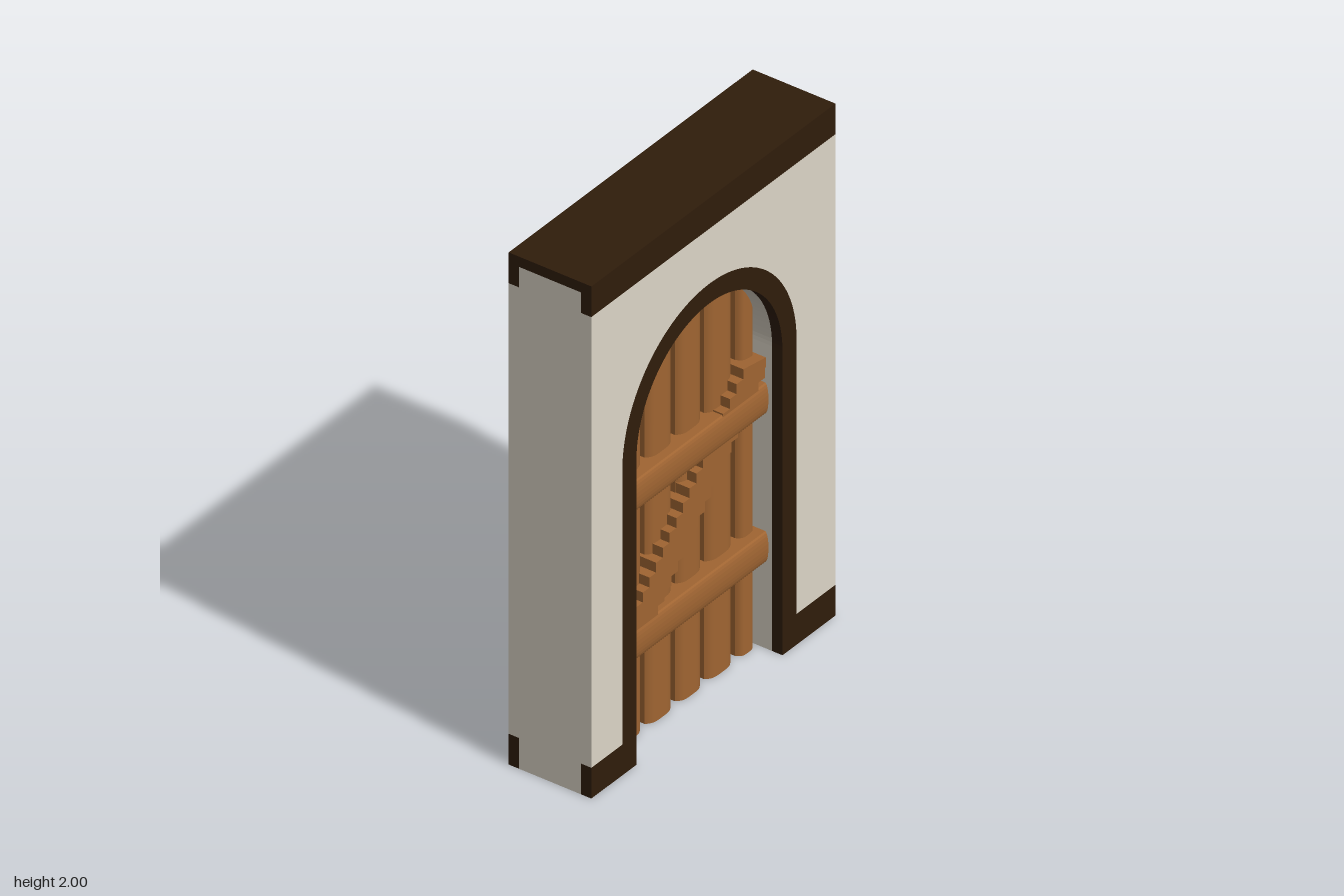
import * as THREE from 'three';

const material = (name, color) => {
  const m = new THREE.MeshStandardMaterial({ color });
  m.name = name;
  return m;
};

const HALF_W = 0.665, HALF_D = 0.167, CORE = 0.125, SKIN = HALF_D - CORE;
const CX = -0.021, SPRING = 1.19, R_IN = 0.398, R_OUT = 0.475;

export function createModel() {
  const plaster = material('plaster', 0xddd5c7);
  const darkWood = material('dark wood', 0x301d0b);
  const doorWood = material('door wood', 0xa06532);
  const model = new THREE.Group();
  model.name = 'archedDoorway';

  const add = (name, geometry, mat, x = 0, y = 0, z = 0, parent = model) => {
    const mesh = new THREE.Mesh(geometry, mat);
    mesh.name = name;
    mesh.position.set(x, y, z);
    parent.add(mesh);
  };
  const extrude = (shape, depth) =>
    new THREE.ExtrudeGeometry(shape, { depth, bevelEnabled: false, curveSegments: 40 });

  // Wall outline with an arched doorway open at the floor
  const wallShape = (y0, y1, r) => {
    const s = new THREE.Shape();
    s.moveTo(CX + r, y0);
    s.lineTo(HALF_W, y0);
    s.lineTo(HALF_W, y1);
    s.lineTo(-HALF_W, y1);
    s.lineTo(-HALF_W, y0);
    s.lineTo(CX - r, y0);
    s.lineTo(CX - r, SPRING);
    s.absarc(CX, SPRING, r, Math.PI, 0, true);
    s.lineTo(CX + r, y0);
    return s;
  };

  // Arched band around the doorway
  const frameShape = new THREE.Shape();
  frameShape.moveTo(CX + R_IN, 0);
  frameShape.lineTo(CX + R_OUT, 0);
  frameShape.lineTo(CX + R_OUT, SPRING);
  frameShape.absarc(CX, SPRING, R_OUT, 0, Math.PI, false);
  frameShape.lineTo(CX - R_OUT, 0);
  frameShape.lineTo(CX - R_IN, 0);
  frameShape.lineTo(CX - R_IN, SPRING);
  frameShape.absarc(CX, SPRING, R_IN, Math.PI, 0, true);

  add('wallCore', extrude(wallShape(0, 1.96, R_IN), CORE * 2), plaster, 0, 0, -CORE);
  add('topCap', new THREE.BoxGeometry(HALF_W * 2, 0.04, CORE * 2), darkWood, 0, 1.98, 0);

  // Plaster face, frame, beam and skirting on both sides
  for (const side of [1, -1]) {
    const z = side > 0 ? CORE : -HALF_D, mid = side * (CORE + SKIN / 2);
    add('wallFace', extrude(wallShape(0.12, 1.88, R_OUT), SKIN), plaster, 0, 0, z);
    add('doorFrame', extrude(frameShape, SKIN), darkWood, 0, 0, z);
    add('topBeam', new THREE.BoxGeometry(HALF_W * 2, 0.12, SKIN), darkWood, 0, 1.94, mid);
    for (const [a, b] of [[-HALF_W, CX - R_OUT], [CX + R_OUT, HALF_W]]) {
      add('skirting', new THREE.BoxGeometry(b - a, 0.12, SKIN), darkWood, (a + b) / 2, 0.06, mid);
    }
  }

  const door = new THREE.Group();
  door.name = 'door';
  model.add(door);

  // Upright board with a gently crowned face and a top cut to the arch
  const board = (x0, x1, edge, middle) => {
    const g = new THREE.BoxGeometry(1, 1, 1, 24, 1, 1);
    const p = g.attributes.position;
    for (let i = 0; i < p.count; i++) {
      const u = p.getX(i) * 2;
      const x = (x0 + x1) / 2 + u * (x1 - x0) / 2;
      const top = SPRING + Math.sqrt(Math.max(0, 0.401 ** 2 - (x - CX) ** 2));
      const half = edge + (middle - edge) * (1 - u ** 4);
      p.setXYZ(i, x, p.getY(i) > 0 ? top : 0, Math.sign(p.getZ(i)) * half);
    }
    g.computeVertexNormals();
    return g;
  };
  add('doorCore', board(-0.415, 0.373, 0.025, 0.025), doorWood, 0, 0, 0, door);
  const planks = [[-0.41, -0.238], [-0.212, -0.075], [-0.047, 0.085], [0.113, 0.252], [0.282, 0.367]];
  for (const [a, b] of planks) add('plank', board(a, b, 0.046, 0.068), doorWood, 0, 0, 0, door);

  // Cross rails with nearly flat faces and eased edges
  const rail = new THREE.Shape();
  rail.moveTo(-0.1, -0.06);
  rail.lineTo(0.1, -0.06);
  rail.bezierCurveTo(0.117, -0.05, 0.117, 0.05, 0.1, 0.06);
  rail.lineTo(-0.1, 0.06);
  rail.bezierCurveTo(-0.117, 0.05, -0.117, -0.05, -0.1, -0.06);
  const railGeometry = new THREE.ExtrudeGeometry(rail, { depth: 0.79, bevelEnabled: false, curveSegments: 10 });
  railGeometry.rotateY(Math.PI / 2);
  for (const y of [0.4, 0.98]) add('crossRail', railGeometry, doorWood, -0.416, y, 0, door);

  // Diagonal brace with stepped edges, level with the rails
  const points = [];
  const steps = 19, dx = 0.0365, dy = 0.0385;
  for (let i = 0; i < steps; i++) {
    const x = -0.41 + i * dx, y = 0.43 + i * dy;
    points.push([x, y], [x, y + dy]);
  }
  for (let i = steps - 1; i >= 0; i--) {
    const x = Math.min(-0.255 + i * dx, 0.37), y = 0.43 + i * dy;
    points.push([x, y + dy * 0.5], [x, y - dy * 0.5]);
  }
  const brace = new THREE.Shape(points.map(([x, y]) => new THREE.Vector2(x, y)));
  add('diagonalBrace', extrude(brace, 0.21), doorWood, 0, 0, -0.105, door);

  return model;
}
